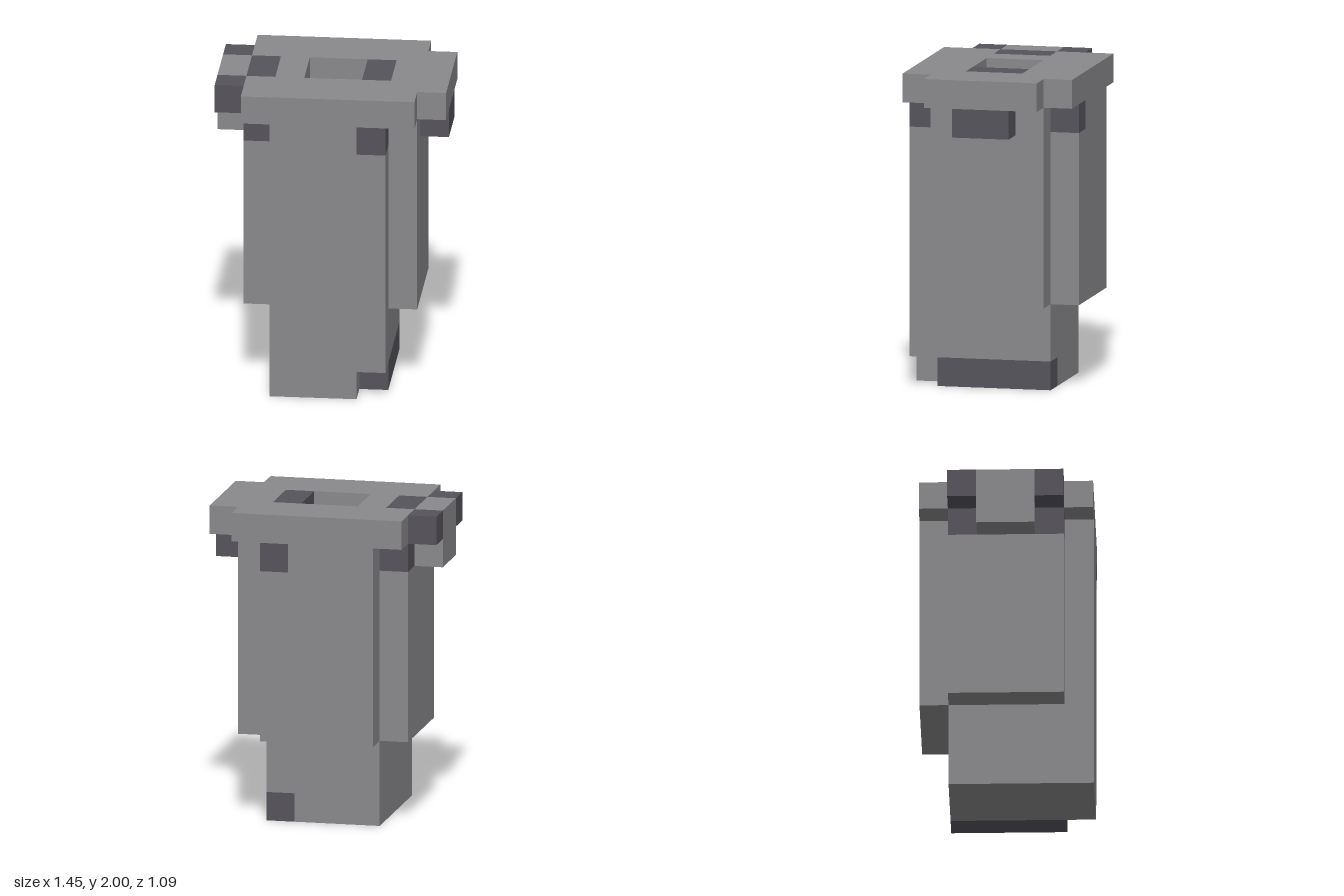
import * as THREE from 'three';

const UNIT = 2 / 11; // edge length of one block

// Each part is a list of block ranges [x0, x1, y0, y1, z0, z1]; later parts replace earlier ones.
const PARTS = [
  ['lowerBody', 'stone', [[-2, 2, 0, 3, -2, 3]]],
  ['upperBody', 'stone', [[-2, 2, 3, 10, -3, 3]]],
  ['sidePanels', 'stone', [[-3, -2, 3, 10, -2, 2], [2, 3, 3, 10, -2, 2]]],
  ['topSlab', 'stone', [[-3, 3, 10, 11, -3, 3], [-4, 4, 10, 11, -2, 2]]],
  ['rightLug', 'stone', [[-4, -3, 9, 10, -1, 1]]],
  ['leftLug', 'darkStone', [[3, 4, 9, 10, -1, 1]]],
  ['slabInlays', 'darkStone', [[-3, -2, 10, 11, -1, 1], [1, 2, 10, 11, -1, 1]]],
  ['slabCorners', 'darkStone', [[-4, -3, 10, 11, -2, -1], [-4, -3, 10, 11, 1, 2]]],
  ['shoulderBlocks', 'darkStone', [
    [-3, -2, 9, 10, -2, -1], [-3, -2, 9, 10, 1, 2],
    [1, 2, 9, 10, -3, -2], [1, 2, 9, 10, 2, 3]]],
  ['footStrip', 'darkStone', [[1, 2, 0, 1, -2, 2]]],
  // open spaces
  ['well', null, [[-1, 1, 1, 11, -1, 1]]],
  ['footNotch', null, [[1, 2, 0, 1, 2, 3]]],
];

const key = (x, y, z) => `${x},${y},${z}`;

// Fill a block map with the name of the part at each position
function fillBlocks() {
  const blocks = new Map();
  for (const [name, colour, ranges] of PARTS) {
    for (const [x0, x1, y0, y1, z0, z1] of ranges) {
      for (let x = x0; x < x1; x++)
        for (let y = y0; y < y1; y++)
          for (let z = z0; z < z1; z++) {
            if (colour) blocks.set(key(x, y, z), { name, at: [x, y, z] });
            else blocks.delete(key(x, y, z));
          }
    }
  }
  return blocks;
}

// Build the exposed faces of one part
function partGeometry(blocks, name) {
  const positions = [], normals = [], indices = [];
  for (const block of blocks.values()) {
    if (block.name !== name) continue;
    for (let axis = 0; axis < 3; axis++) {
      for (const side of [1, -1]) {
        const next = [...block.at];
        next[axis] += side;
        if (blocks.has(key(...next))) continue;
        const u = (axis + 1) % 3, v = (axis + 2) % 3;
        const start = positions.length / 3;
        for (const [du, dv] of [[0, 0], [1, 0], [1, 1], [0, 1]]) {
          const corner = [...block.at];
          if (side > 0) corner[axis] += 1;
          corner[u] += du;
          corner[v] += dv;
          positions.push(...corner.map((c) => c * UNIT));
          const normal = [0, 0, 0];
          normal[axis] = side;
          normals.push(...normal);
        }
        const order = side > 0 ? [0, 1, 2, 0, 2, 3] : [0, 2, 1, 0, 3, 2];
        indices.push(...order.map((i) => start + i));
      }
    }
  }
  const geometry = new THREE.BufferGeometry();
  geometry.setAttribute('position', new THREE.Float32BufferAttribute(positions, 3));
  geometry.setAttribute('normal', new THREE.Float32BufferAttribute(normals, 3));
  geometry.setIndex(indices);
  return geometry;
}

export function createModel() {
  const materials = {
    stone: new THREE.MeshStandardMaterial({ color: 0x89888b }),
    darkStone: new THREE.MeshStandardMaterial({ color: 0x56545b }),
  };
  for (const [name, material] of Object.entries(materials)) material.name = name;

  const model = new THREE.Group();
  model.name = 'blockPillar';
  const blocks = fillBlocks();
  for (const [name, colour] of PARTS) {
    if (!colour) continue;
    const mesh = new THREE.Mesh(partGeometry(blocks, name), materials[colour]);
    mesh.name = name;
    model.add(mesh);
  }
  return model;
}
